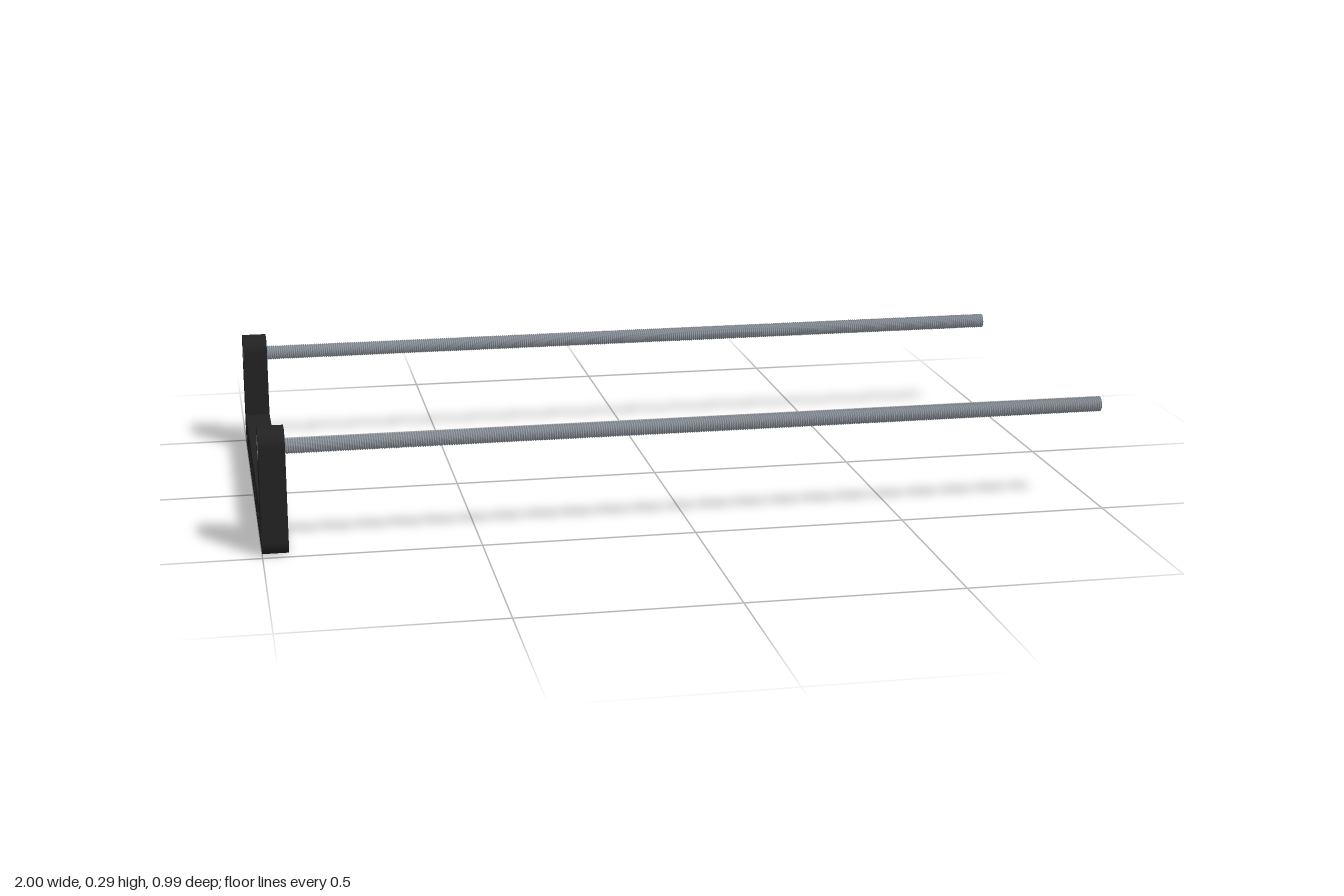
import * as THREE from 'three';

const HALF = 0.497, ARM = 0.092, HEIGHT = 0.293, R = 0.034;
const ROD_Y = 0.247, ROD_Z = 0.45, ROD_R = 0.0185, CORE_R = 0.0158, PITCH = 0.0055;
const NUT_R = 0.033;

function circle(x, y, r) {
  return new THREE.Path().absarc(x, y, r, 0, Math.PI * 2, true);
}

function hexPoints(x, y, r) {
  return Array.from({ length: 6 }, (_, i) => {
    const a = (i + 0.5) * Math.PI / 3;
    return new THREE.Vector2(x + r * Math.cos(a), y + r * Math.sin(a));
  });
}

// U-shaped outline in (z, y), with the drilled hole pattern
function bracketShape() {
  const s = new THREE.Shape(), inner = HALF - ARM, H = Math.PI / 2;
  s.moveTo(-HALF + R, 0);
  s.absarc(HALF - R, R, R, -H, 0);
  s.absarc(HALF - R, HEIGHT - R, R, 0, H);
  s.absarc(inner + R, HEIGHT - R, R, H, 2 * H);
  s.lineTo(inner, 0.094);
  s.lineTo(-inner, 0.094);
  s.absarc(-inner - R, HEIGHT - R, R, 0, H);
  s.absarc(-HALF + R, HEIGHT - R, R, H, 2 * H);
  s.absarc(-HALF + R, R, R, 2 * H, 3 * H);
  for (let i = 0; i < 10; i++) s.holes.push(circle(-0.45 + i * 0.1, 0.048, 0.021));
  for (let i = 0; i < 9; i++) s.holes.push(circle(-0.4 + i * 0.1, 0.048, 0.0115));
  for (const z of [-ROD_Z, ROD_Z]) s.holes.push(circle(z, 0.098, 0.0115));
  return s;
}

// Extrudes a (z, y) shape from x towards -x
function plate(shape, x, depth) {
  return new THREE.ExtrudeGeometry(shape, { depth, bevelEnabled: false, curveSegments: 12 })
    .rotateY(-Math.PI / 2).translate(x, 0, 0);
}

// Helical V-thread along x, trimmed flat at both ends
function threadGeometry(x0, x1) {
  const SEG = 16, steps = Math.ceil((x1 - x0) / PITCH + 2) * SEG;
  const pos = [], index = [];
  const flanks = [[0, CORE_R, 0.5, ROD_R], [0.5, ROD_R, 1, CORE_R]];
  for (const [ta, ra, tb, rb] of flanks) {
    const base = pos.length / 3;
    for (let i = 0; i <= steps; i++) {
      const a = i / SEG * Math.PI * 2;
      for (const [t, r] of [[ta, ra], [tb, rb]]) {
        const x = THREE.MathUtils.clamp(x0 + (i / SEG - 1 + t) * PITCH, x0, x1);
        pos.push(x, r * Math.cos(a), r * Math.sin(a));
      }
      if (i < steps) {
        const k = base + i * 2;
        index.push(k, k + 2, k + 1, k + 1, k + 2, k + 3);
      }
    }
  }
  const g = new THREE.BufferGeometry();
  g.setAttribute('position', new THREE.Float32BufferAttribute(pos, 3));
  g.setIndex(index);
  g.computeVertexNormals();
  return g;
}

export function createModel() {
  const black = new THREE.MeshStandardMaterial({ color: 0x222222 });
  black.name = 'black plastic';
  const steel = new THREE.MeshStandardMaterial({ color: 0x8f979f });
  steel.name = 'steel';

  const model = new THREE.Group();
  const add = (parent, name, geometry, material) => {
    const m = new THREE.Mesh(geometry, material);
    m.name = name;
    parent.add(m);
    return m;
  };

  // Bracket: inner layer with round rod holes, outer layer with hex nut pockets
  const bracket = new THREE.Group();
  bracket.name = 'bracket';
  model.add(bracket);
  const innerShape = bracketShape(), outerShape = bracketShape();
  for (const z of [-ROD_Z, ROD_Z]) {
    innerShape.holes.push(circle(z, ROD_Y, 0.0195));
    outerShape.holes.push(new THREE.Path(hexPoints(z, ROD_Y, NUT_R + 0.001)));
  }
  add(bracket, 'innerLayer', plate(innerShape, -0.94, 0.03), black);
  add(bracket, 'outerLayer', plate(outerShape, -0.97, 0.03), black);

  // Threaded rods with their captive nuts
  const thread = threadGeometry(-1, 1);
  const cap = new THREE.CircleGeometry(CORE_R + 0.001, 16);
  const nutShape = new THREE.Shape(hexPoints(0, 0, NUT_R));
  nutShape.holes.push(circle(0, 0, ROD_R));
  const nut = plate(nutShape, -0.971, 0.029);
  for (const [side, z] of [['front', ROD_Z], ['back', -ROD_Z]]) {
    const rod = new THREE.Group();
    rod.name = side + 'Rod';
    rod.position.set(0, ROD_Y, z);
    model.add(rod);
    add(rod, 'thread', thread, steel);
    add(rod, 'nut', nut, steel);
    for (const s of [-1, 1]) {
      const end = add(rod, 'rodEnd', cap, steel);
      end.position.x = s;
      end.rotation.y = s * Math.PI / 2;
    }
  }
  return model;
}
